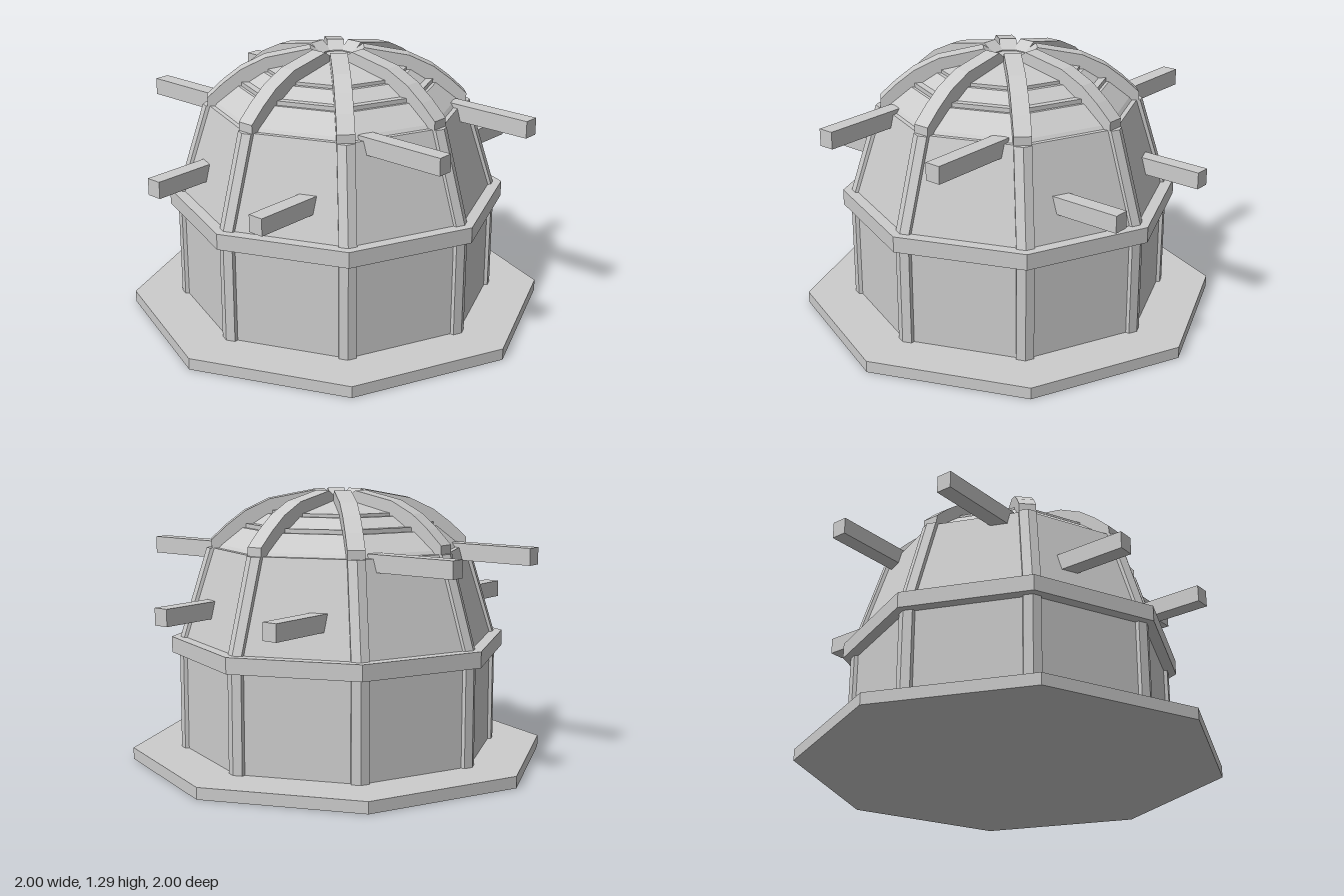
import * as THREE from 'three';

const SIDES = 8;
const TAN = Math.tan(Math.PI / SIDES);

export function createModel() {
  const model = new THREE.Group();
  const mat = new THREE.MeshStandardMaterial({ color: 0xcccccc, flatShading: true });

  function add(name, geo, parent = model) {
    const mesh = new THREE.Mesh(geo, mat);
    mesh.name = name;
    parent.add(mesh);
    return mesh;
  }

  // Octagonal tier with its corners on the axes
  function tier(name, y0, y1, r0, r1 = r0) {
    add(name, new THREE.CylinderGeometry(r1, r0, y1 - y0, SIDES)).position.y = (y0 + y1) / 2;
  }

  // The same part at each of the eight corners
  function atCorners(name, geo) {
    const group = new THREE.Group();
    group.name = name + 's';
    for (let i = 0; i < SIDES; i++) add(name, geo, group).rotation.y = i * Math.PI * 2 / SIDES;
    model.add(group);
  }

  // Corner strip with a bent outer face, leaning from radius r0 to r1
  function cornerStrip(y0, y1, r0, r1) {
    const w = 0.04, back = w * TAN;
    const shape = new THREE.Shape([
      [0, 0], [-w, -back], [-w, -0.07], [w, -0.07], [w, -back]
    ].map(p => new THREE.Vector2(...p)));
    const geo = new THREE.ExtrudeGeometry(shape, { depth: y1 - y0, bevelEnabled: false });
    geo.rotateX(-Math.PI / 2);
    const pos = geo.attributes.position;
    for (let i = 0; i < pos.count; i++) {
      const t = pos.getY(i) / (y1 - y0);
      pos.setZ(i, pos.getZ(i) - THREE.MathUtils.lerp(r0, r1, t));
    }
    geo.translate(0, y0, 0);
    geo.computeVertexNormals();
    return geo;
  }

  // Base slab, walls and belt
  tier('baseSlab', 0, 0.055, 1);
  tier('lowerWall', 0.055, 0.53, 0.75);
  tier('belt', 0.52, 0.595, 0.805);
  tier('upperWall', 0.59, 1.02, 0.75, 0.615);
  atCorners('lowerCornerStrip', cornerStrip(0.055, 0.53, 0.768, 0.768));
  atCorners('upperCornerStrip', cornerStrip(0.59, 1.02, 0.765, 0.633));

  // Stepped dome skin
  const dome = [
    [0.6, 1.01], [0.58, 1.035], [0.48, 1.115], [0.465, 1.115], [0.465, 1.135], [0.43, 1.135],
    [0.36, 1.18], [0.34, 1.18], [0.34, 1.195], [0.31, 1.2], [0.1, 1.245], [0, 1.245]
  ].map(p => new THREE.Vector2(...p));
  add('domeSkin', new THREE.LatheGeometry(dome, SIDES));

  // Arched dome ribs, meeting around an open crown
  const arch = new THREE.Shape([
    [0.61, 1.01], [0.61, 1.06], [0.535, 1.13], [0.45, 1.195], [0.335, 1.25], [0.125, 1.29],
    [0.07, 1.25], [0.07, 1.22], [0.3, 1.18], [0.42, 1.12], [0.54, 1.01]
  ].map(p => new THREE.Vector2(...p)));
  const archGeo = new THREE.ExtrudeGeometry(arch, { depth: 0.08, bevelEnabled: false });
  archGeo.translate(0, 0, -0.04);
  atCorners('domeRib', archGeo);

  // Projecting beams: a high pair front and back, a low pair on each side
  for (const a of [-1, 1]) {
    for (const b of [-1, 1]) {
      add('highBeam', new THREE.BoxGeometry(0.075, 0.08, 0.445))
        .position.set(a * 0.32, 1.0, b * 0.658);
      add('lowBeam', new THREE.BoxGeometry(0.42, 0.08, 0.075))
        .position.set(a * 0.67, 0.75, b * 0.32);
    }
  }
  return model;
}
